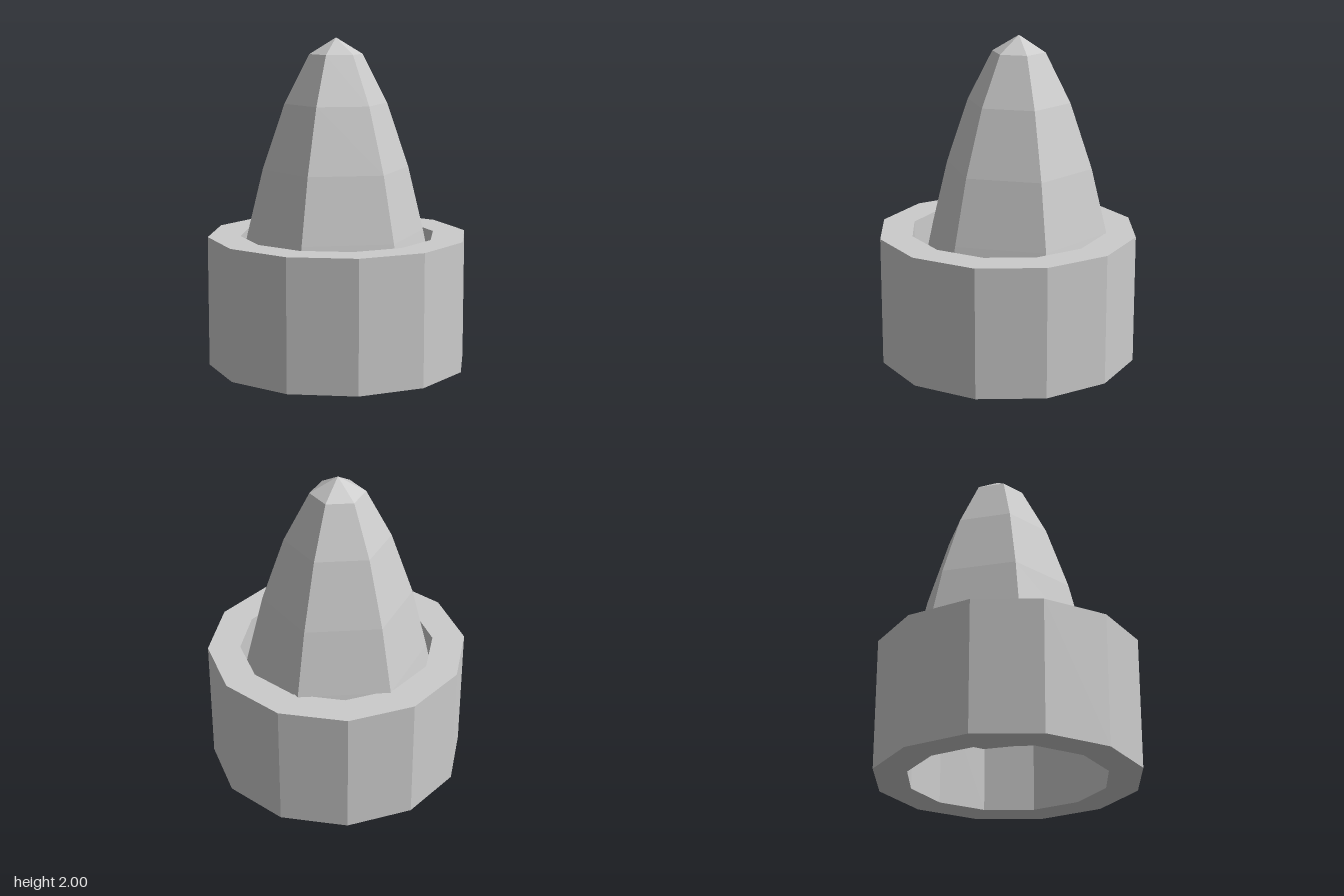
import * as THREE from 'three';

const material = new THREE.MeshStandardMaterial({ color: 0xcccccc, flatShading: true });

// Faceted solid of revolution from [radius, height] pairs, listed bottom to top on the outside
function turned(name, profile, sides) {
  const points = profile.map(([r, y]) => new THREE.Vector2(r, y));
  const mesh = new THREE.Mesh(new THREE.LatheGeometry(points, sides, Math.PI / 2), material);
  mesh.name = name;
  return mesh;
}

export function createModel() {
  const group = new THREE.Group();

  // Twelve-sided open collar, outer wall, rim, inner wall and underside
  const collar = turned('collar', [[0.8, 0], [0.8, 0.8], [0.6, 0.8], [0.6, 0], [0.8, 0]], 12);

  // Six-sided tapering spike, set slightly back and cutting into the collar
  const spike = turned('spike', [
    [0, 0.4], [0.637, 0.4], [0.551, 0.8], [0.454, 1.2], [0.318, 1.6], [0.164, 1.9], [0, 2],
  ], 6);
  spike.position.z = -0.072;

  group.add(collar, spike);
  return group;
}
